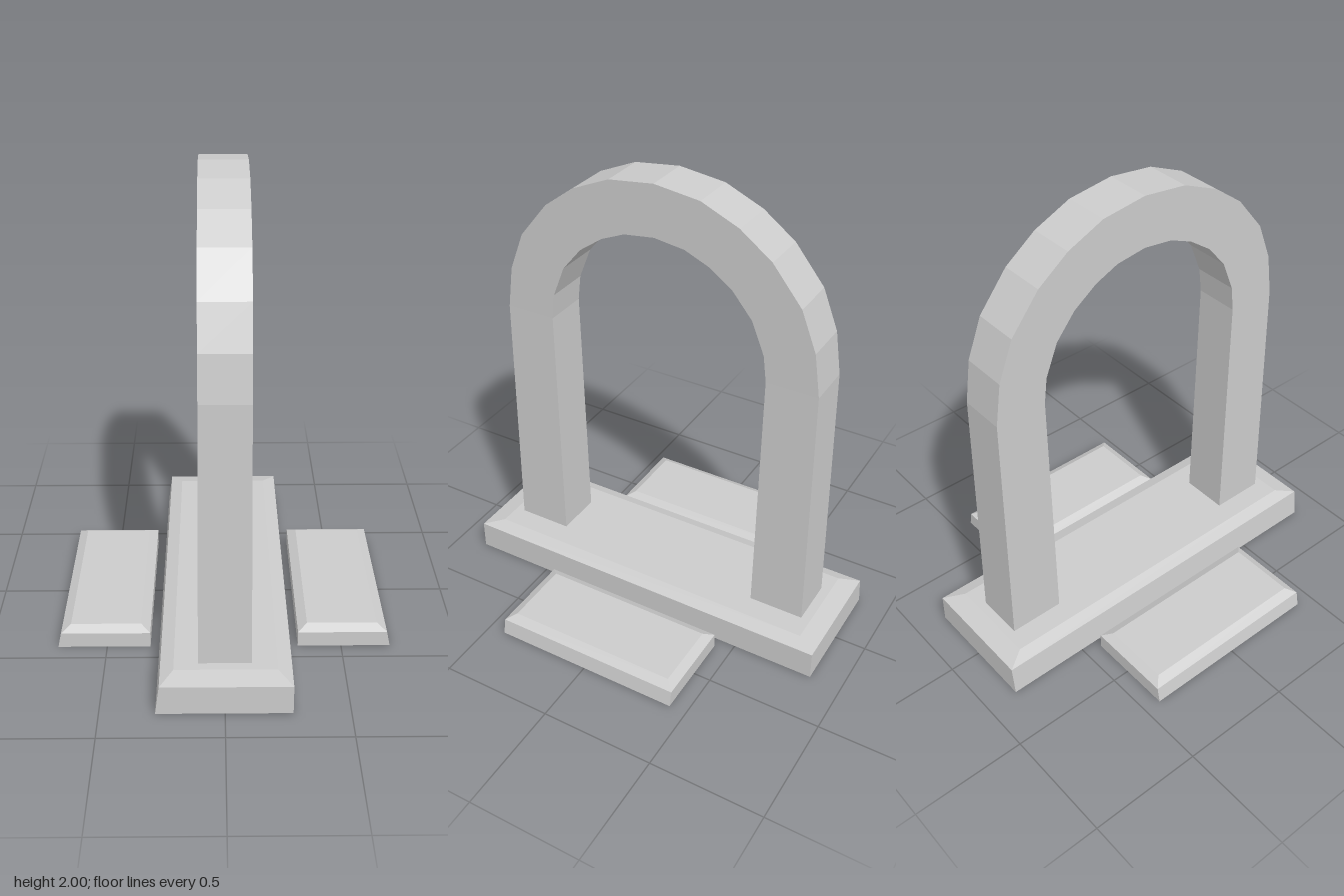
import * as THREE from 'three';

const material = new THREE.MeshStandardMaterial({ color: 0xcccccc, flatShading: true, side: THREE.DoubleSide });

// Skins a list of four-cornered rings; optionally closes the last ring
function loft(name, rings, cap) {
  const pos = [];
  const quad = (a, b, c, d) => pos.push(...a, ...b, ...c, ...a, ...c, ...d);
  for (let i = 0; i < rings.length - 1; i++) {
    for (let j = 0; j < 4; j++) {
      const k = (j + 1) % 4;
      quad(rings[i][j], rings[i][k], rings[i + 1][k], rings[i + 1][j]);
    }
  }
  if (cap) quad(...rings[rings.length - 1]);
  const geometry = new THREE.BufferGeometry();
  geometry.setAttribute('position', new THREE.Float32BufferAttribute(pos, 3));
  geometry.computeVertexNormals();
  const mesh = new THREE.Mesh(geometry, material);
  mesh.name = name;
  return mesh;
}

// Horizontal rectangle at height y
const rect = (y, x0, x1, z) => [[x0, y, z], [x1, y, z], [x1, y, -z], [x0, y, -z]];

export function createModel() {
  const group = new THREE.Group();
  group.name = 'archMonument';

  // Bevelled plinth, open underneath
  group.add(loft('plinth', [
    rect(0, -0.277, 0.27, 0.86),
    rect(0.128, -0.26, 0.27, 0.86),
    rect(0.148, -0.205, 0.21, 0.776),
  ], true));

  // Low steps on both sides, open underneath
  const step = (name, s) => {
    const ring = (y, inner, outer, z) =>
      rect(y, Math.min(s * inner, s * outer), Math.max(s * inner, s * outer), z);
    return loft(name, [
      ring(0, 0.315, 0.709, 0.423),
      ring(0.068, 0.315, 0.695, 0.423),
      ring(0.09, 0.355, 0.655, 0.384),
    ], true);
  };
  group.add(step('leftStep', 1), step('rightStep', -1));

  // Arch half profile: outer z, outer y, inner z, inner y, half width
  const half = [
    [0.735, 0.147, 0.49, 0.147, 0.108],
    [0.727, 1.28, 0.502, 1.28, 0.1],
    [0.7, 1.468, 0.488, 1.395, 0.1],
    [0.633, 1.64, 0.432, 1.535, 0.1],
    [0.504, 1.8, 0.345, 1.64, 0.1],
    [0.365, 1.903, 0.24, 1.715, 0.1],
    [0.2, 1.975, 0.135, 1.76, 0.1],
  ];
  const mirrored = half.map(([oz, oy, iz, iy, w]) => [-oz, oy, -iz, iy, w]).reverse();
  const rings = [...half, [0, 2, 0, 1.778, 0.1], ...mirrored].map(([oz, oy, iz, iy, w]) =>
    [[-w, oy, oz], [w, oy, oz], [w, iy, iz], [-w, iy, iz]]);
  group.add(loft('arch', rings, false));

  return group;
}
